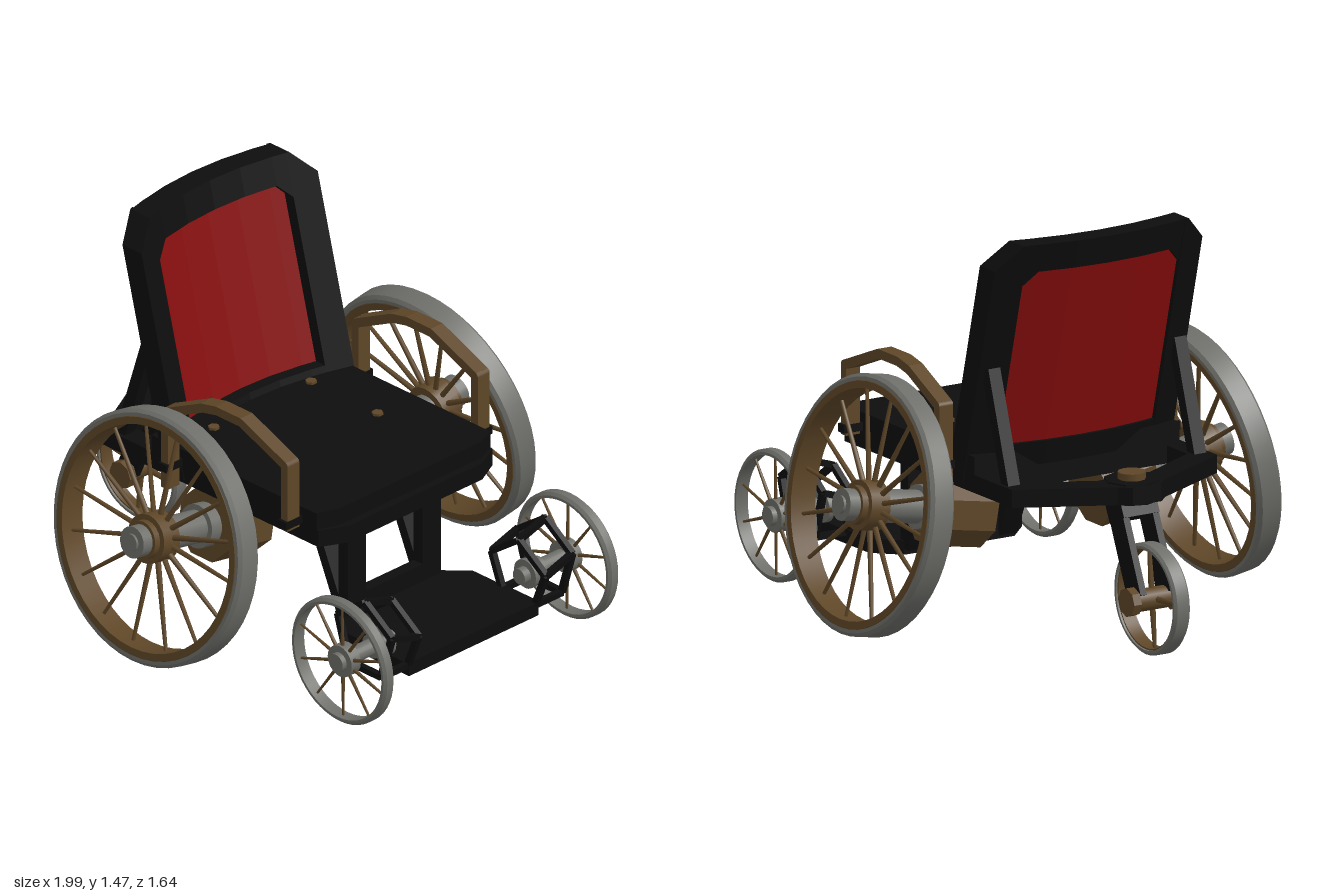
import * as THREE from 'three';
import { toCreasedNormals, mergeVertices } from 'three/addons/utils/BufferGeometryUtils.js';

const mat = (name, color) => {
  const m = new THREE.MeshStandardMaterial({ color });
  m.name = name;
  return m;
};
const V = (x, y, z) => new THREE.Vector3(x, y, z);

export function createModel() {
  const root = new THREE.Group();
  root.name = 'wheelchair';
  const black = mat('black frame', 0x0d0d0d);
  const red = mat('red upholstery', 0x860c0c);
  const brown = mat('bronze', 0x5e4627);
  const gray = mat('grey metal', 0x6d6d69);

  const add = (name, geo, m, parent = root) => {
    const mesh = new THREE.Mesh(geo, m);
    mesh.name = name;
    parent.add(mesh);
    return mesh;
  };
  const box = (name, m, x0, x1, y0, y1, z0, z1) => {
    const mesh = add(name, new THREE.BoxGeometry(x1 - x0, y1 - y0, z1 - z0), m);
    mesh.position.set((x0 + x1) / 2, (y0 + y1) / 2, (z0 + z1) / 2);
  };
  // rectangular bar from a to b; w lies in the side plane, d across it
  const bar = (name, m, a, b, w, d, parent = root) => {
    const dir = b.clone().sub(a);
    const mesh = add(name, new THREE.BoxGeometry(w, dir.length(), d), m, parent);
    mesh.position.copy(a).add(b).multiplyScalar(0.5);
    mesh.quaternion.setFromUnitVectors(V(0, 1, 0), dir.normalize());
  };
  // cylinder along the local y axis from y0 to y1
  const cyl = (name, m, r, y0, y1, parent, sides = 20) => {
    let g = new THREE.CylinderGeometry(r, r, y1 - y0, sides);
    if (sides <= 8) g = toCreasedNormals(g, 0.3);
    const mesh = add(name, g, m, parent);
    mesh.position.y = (y0 + y1) / 2;
    return mesh;
  };
  // flat plate from an outline of [x, z] points
  const plate = (name, m, outline, y0, y1, hole) => {
    const toShape = (pts, C) => new C(pts.map(([x, z]) => new THREE.Vector2(x, -z)));
    const s = toShape(outline, THREE.Shape);
    if (hole) s.holes.push(toShape(hole, THREE.Path));
    const g = new THREE.ExtrudeGeometry(s, { depth: y1 - y0, bevelEnabled: false });
    g.rotateX(-Math.PI / 2);
    add(name, g, m).position.y = y0;
  };
  const mirrorZ = (pts) => [...pts, ...pts.map(([x, z]) => [x, -z]).reverse()];

  // ring with rounded shoulders, axis along y
  const ring = (name, m, rIn, rOut, half, parent) => {
    const c = Math.min(0.012, (rOut - rIn) / 2);
    const pts = [[rIn, -half], [rOut - c, -half], [rOut, -half + c], [rOut, half - c],
      [rOut - c, half], [rIn, half], [rIn, -half]].map(([r, y]) => new THREE.Vector2(r, y));
    add(name, toCreasedNormals(new THREE.LatheGeometry(pts, 48), 0.6), m, parent);
  };
  const spokes = (n, r0, r1, thick, parent, start = 0) => {
    for (let i = 0; i < n; i++) {
      const a = start + (i / n) * Math.PI * 2;
      const s = add('spoke', new THREE.CylinderGeometry(thick * 0.75, thick * 1.2, r1 - r0, 6), brown, parent);
      const d = V(Math.cos(a), 0, Math.sin(a));
      s.quaternion.setFromUnitVectors(V(0, 1, 0), d);
      s.position.copy(d).multiplyScalar((r0 + r1) / 2);
    }
  };
  const axisGroup = (name, x, y, z, rotX) => {
    const g = new THREE.Group();
    g.name = name;
    g.position.set(x, y, z);
    g.rotation.x = rotX;
    root.add(g);
    return g;
  };

  // seat cushion, deck and rear tapering frame
  plate('seat', black, mirrorZ([[-0.32, 0.43], [0.5, 0.43], [0.53, 0.35]]), 0.57, 0.675);
  plate('deckFrame', black, mirrorZ([[-0.77, 0.06], [-0.73, 0.1], [-0.56, 0.43], [0.51, 0.43], [0.56, 0.33]]),
    0.545, 0.61, mirrorZ([[-0.62, 0.11], [-0.49, 0.35], [-0.36, 0.35]]));
  const pivot = axisGroup('casterPivot', -0.67, 0, 0, 0);
  cyl('pivotPlate', black, 0.1, 0.54, 0.615, pivot, 8);
  cyl('pivotCap', brown, 0.05, 0.61, 0.64, pivot, 12);
  cyl('pivotStem', brown, 0.04, 0.5, 0.55, pivot, 12);
  for (const x of [-0.2, 0.13]) for (const z of [-0.24, 0.24]) {
    cyl('seatBolt', brown, 0.021, 0.67, 0.684, axisGroup('bolt', x, 0, z, 0), 6);
  }

  // curved, leaning backrest built from vertical strips
  const backX = (y, z) => -0.32 - 0.256 * (y - 0.7) + 0.4 * z * z;
  const strip = (name, m, z0, z1, lo, hi, front, back) => {
    const g = new THREE.BoxGeometry(1, 1, 1);
    const p = g.attributes.position;
    for (let i = 0; i < p.count; i++) {
      const e = p.getZ(i) > 0 ? z1 : z0;
      const y = p.getY(i) > 0 ? hi(e) : lo(e);
      p.setXYZ(i, backX(y, e) + (p.getX(i) > 0 ? front : back), y, e);
    }
    g.computeVertexNormals();
    add(name, g, m);
  };
  const outerTop = (z) => 1.47 - Math.max(0, Math.abs(z) - 0.345);
  const innerTop = (z) => 1.365 - Math.max(0, Math.abs(z) - 0.275);
  const cuts = [-0.435, -0.345, -0.33, -0.275, -0.14, 0, 0.14, 0.275, 0.33, 0.345, 0.435];
  for (let i = 0; i < cuts.length - 1; i++) {
    const [a, b] = [cuts[i], cuts[i + 1]];
    if (Math.abs(a + b) / 2 > 0.33) {
      strip('backrestSide', black, a, b, () => 0.56, outerTop, 0.055, -0.04);
    } else {
      strip('backrestTopRail', black, a, b, innerTop, outerTop, 0.055, -0.035);
      strip('backrestBottomRail', black, a, b, () => 0.56, () => 0.7, 0.055, -0.035);
      strip('backrestPanel', red, a, b, () => 0.7, innerTop, 0.01, -0.02);
    }
  }

  // footrest with its upright frame
  plate('footplate', black, mirrorZ([[0.43, 0.23], [0.52, 0.32], [0.85, 0.32]]), 0.12, 0.172);
  box('footFrameBase', black, 0.41, 0.455, 0.14, 0.24, -0.23, 0.23);
  box('footFrameTop', black, 0.41, 0.455, 0.49, 0.56, -0.23, 0.23);

  for (const s of [-1, 1]) {
    box('footFramePost', black, 0.41, 0.455, 0.14, 0.56, s * 0.185 - 0.045, s * 0.185 + 0.045);
    bar('footFrameBrace', black, V(0.25, 0.55, s * 0.19), V(0.43, 0.145, s * 0.19), 0.04, 0.08);
    bar('backrestBrace', black, V(-0.5, 0.58, s * 0.39), V(-0.365, 1.0, s * 0.39), 0.045, 0.05);

    // arched armrest
    const arm = [[-0.185, 0.54], [-0.185, 0.84], [0, 0.93], [0.07, 0.945], [0.19, 0.945], [0.41, 0.855], [0.41, 0.6]];
    for (let i = 0; i < arm.length - 1; i++) {
      const [a, b] = [arm[i], arm[i + 1]];
      bar('armrest', brown, V(a[0], a[1], s * 0.47), V(b[0], b[1], s * 0.47), 0.034, 0.058);
      if (i) {
        const j = add('armrestJoint', new THREE.CylinderGeometry(0.017, 0.017, 0.058, 12), brown);
        j.position.set(a[0], a[1], s * 0.47);
        j.rotation.x = Math.PI / 2;
      }
    }
    for (const x of [-0.185, 0.41]) {
      box('armrestMount', black, x - 0.02, x + 0.02, 0.61, 0.64, s * 0.465 - 0.045, s * 0.465 + 0.045);
    }

    // cambered drive wheel, its axle and motor housing
    const w = axisGroup('driveWheel', -0.04, 0.475, s * 0.686, s * (Math.PI / 2 - 0.174));
    ring('tyre', gray, 0.432, 0.463, 0.05, w);
    ring('rim', brown, 0.41, 0.448, 0.052, w);
    spokes(16, 0.06, 0.42, 0.009, w, 0.1);
    cyl('hub', brown, 0.09, -0.03, 0.05, w);
    cyl('hubFlange', brown, 0.07, 0.05, 0.075, w);
    cyl('hubCap', gray, 0.058, 0.075, 0.12, w);
    cyl('hubNut', gray, 0.032, 0.12, 0.13, w);
    cyl('axle', gray, 0.06, -0.24, -0.03, w);
    cyl('axleFlange', gray, 0.08, -0.25, -0.2, w);
    cyl('motorHousing', brown, 0.138, -0.46, -0.25, w, 8).rotation.y = Math.PI / 8;

    // front support wheel
    const f = axisGroup('frontWheel', 0.757, 0.238, s * 0.555, s * Math.PI / 2);
    ring('frontTyre', gray, 0.217, 0.237, 0.025, f);
    spokes(10, 0.04, 0.22, 0.006, f, 0.3);
    cyl('frontHub', gray, 0.06, -0.03, 0.015, f);
    cyl('frontHubCap', gray, 0.035, 0.015, 0.035, f);
    cyl('frontAxle', gray, 0.03, -0.24, 0, f);
    cyl('axleCollar', gray, 0.055, -0.21, -0.19, f);
    cyl('axleCollar', gray, 0.045, -0.16, -0.14, f);

    // five-sided cage carrying the front axle
    const corner = (i, outer) => {
      const a = Math.PI / 2 + (i / 5) * Math.PI * 2;
      const y = 0.27 + 0.135 * Math.sin(a);
      const lift = y > 0.2 ? 0.04 : 0;
      return V(0.757 + 0.14 * Math.cos(a), y + (outer ? lift / 2 : -lift / 2), s * (outer ? 0.445 : 0.315));
    };
    for (let i = 0; i < 5; i++) {
      for (const outer of [true, false]) bar('wheelCage', black, corner(i, outer), corner(i + 1, outer), 0.022, 0.022);
      bar('wheelCageLink', black, corner(i, false), corner(i, true), 0.022, 0.022);
    }

    // rear fork blade
    bar('forkBlade', black, V(-0.665, 0.53, s * 0.062), V(-0.8, 0.22, s * 0.062), 0.09, 0.026);
  }

  // rear caster wheel
  bar('forkCrown', black, V(-0.655, 0.55, 0), V(-0.69, 0.475, 0), 0.1, 0.15);
  const c = axisGroup('casterWheel', -0.8, 0.208, 0, Math.PI / 2);
  ring('casterTyre', gray, 0.182, 0.2, 0.033, c);
  ring('casterRim', brown, 0.176, 0.186, 0.026, c);
  spokes(4, 0.03, 0.185, 0.01, c, 0.1);
  cyl('casterHub', brown, 0.04, -0.08, 0.08, c);
  for (const s of [-1, 1]) cyl('casterNut', brown, 0.052, s * 0.092 - 0.016, s * 0.092 + 0.016, c, 8);

  return root;
}
